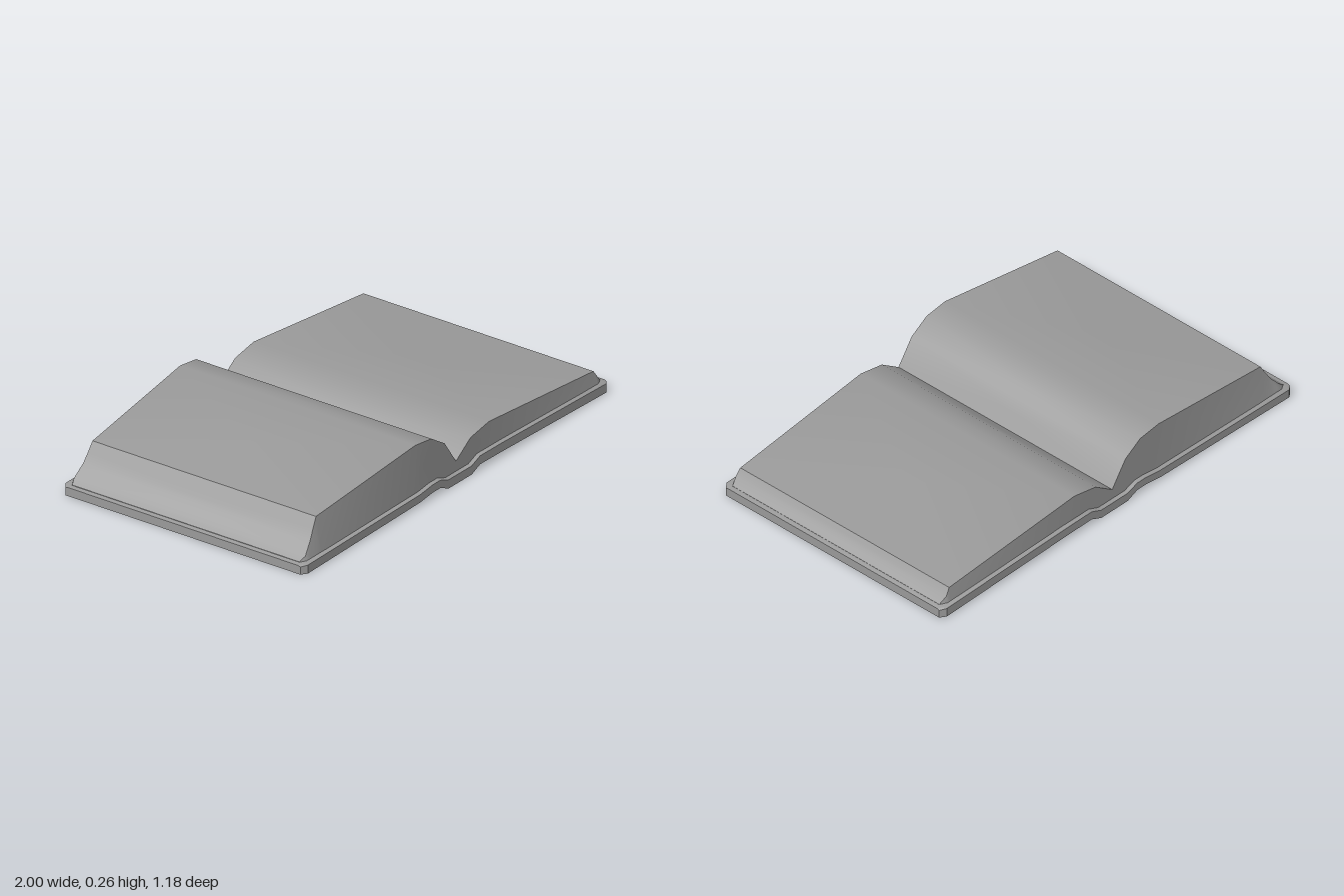
import * as THREE from 'three';
import { toCreasedNormals } from 'three/addons/utils/BufferGeometryUtils.js';

// Dull dark grey shared by paper and cover
const material = new THREE.MeshStandardMaterial({ color: 0x9b9b9b });

// Skins a row of convex rings (ordered along +x) and caps both ends.
// Each panel is split around its centre so that smoothing stays symmetric.
function loft(rings, crease) {
  const positions = [];
  const panel = (...corners) => {
    const centre = [0, 1, 2].map((c) => corners.reduce((sum, p) => sum + p[c], 0) / corners.length);
    corners.forEach((p, j) => positions.push(...centre, ...p, ...corners[(j + 1) % corners.length]));
  };
  for (let i = 0; i < rings.length - 1; i++) {
    const a = rings[i], b = rings[i + 1];
    for (let j = 0; j < a.length; j++) {
      const k = (j + 1) % a.length;
      panel(a[j], a[k], b[k], b[j]);
    }
  }
  panel(...[...rings[0]].reverse());
  panel(...rings[rings.length - 1]);
  const geometry = new THREE.BufferGeometry();
  geometry.setAttribute('position', new THREE.Float32BufferAttribute(positions, 3));
  return toCreasedNormals(geometry, crease);
}

// Cover stations: x, bottom y, top y, half depth
const COVER = [
  [-1, 0, 0.037, 0.574],
  [-0.975, 0, 0.041, 0.592],
  [-0.24, 0.014, 0.052, 0.592],
  [-0.16, 0.024, 0.062, 0.592],
  [-0.11, 0.024, 0.062, 0.592],
  [-0.055, 0, 0.042, 0.592],
  [0.095, 0, 0.042, 0.592],
  [0.15, 0.023, 0.064, 0.592],
  [0.29, 0.021, 0.063, 0.592],
  [0.975, 0.003, 0.046, 0.592],
  [1, 0.002, 0.041, 0.574],
];

// Page stations: x, top y, base y, half depth at top, half depth at base
const PAGES = [
  [-0.98, 0.042, 0.03, 0.555, 0.56],
  [-0.955, 0.06, 0.03, 0.565, 0.575],
  [-0.91, 0.108, 0.03, 0.555, 0.575],
  [-0.885, 0.148, 0.03, 0.55, 0.575],
  [-0.86, 0.19, 0.03, 0.546, 0.575],
  [-0.25, 0.263, 0.045, 0.575, 0.575],
  [-0.145, 0.249, 0.055, 0.575, 0.575],
  [-0.06, 0.195, 0.035, 0.575, 0.575],
  [0.015, 0.086, 0.035, 0.575, 0.575],
  [0.11, 0.151, 0.035, 0.575, 0.575],
  [0.23, 0.173, 0.055, 0.575, 0.575],
  [0.93, 0.105, 0.035, 0.562, 0.575],
  [0.95, 0.075, 0.035, 0.566, 0.575],
  [0.98, 0.046, 0.035, 0.556, 0.56],
];

export function createModel() {
  const book = new THREE.Group();
  book.name = 'openBook';

  // Bent cover with clipped corners and a finely bevelled upper rim
  const coverRings = COVER.map(([x, low, high, z]) => [
    [x, high, z - 0.012], [x, high - 0.004, z], [x, low, z],
    [x, low, -z], [x, high - 0.004, -z], [x, high, -z + 0.012],
  ]);
  const cover = new THREE.Mesh(loft(coverRings, 0.5), material);
  cover.name = 'cover';

  // Two page blocks that meet in the gutter, flaring towards the base
  const pageRings = PAGES.map(([x, high, low, zTop, zBase]) => [
    [x, high, zTop], [x, low, zBase], [x, low, -zBase], [x, high, -zTop],
  ]);
  const gutter = PAGES.findIndex(([x]) => x === 0.015);
  const leftBlock = new THREE.Mesh(loft(pageRings.slice(gutter), 0.6), material);
  leftBlock.name = 'leftPages';
  const rightBlock = new THREE.Mesh(loft(pageRings.slice(0, gutter + 1), 0.6), material);
  rightBlock.name = 'rightPages';

  book.add(cover, leftBlock, rightBlock);
  return book;
}
